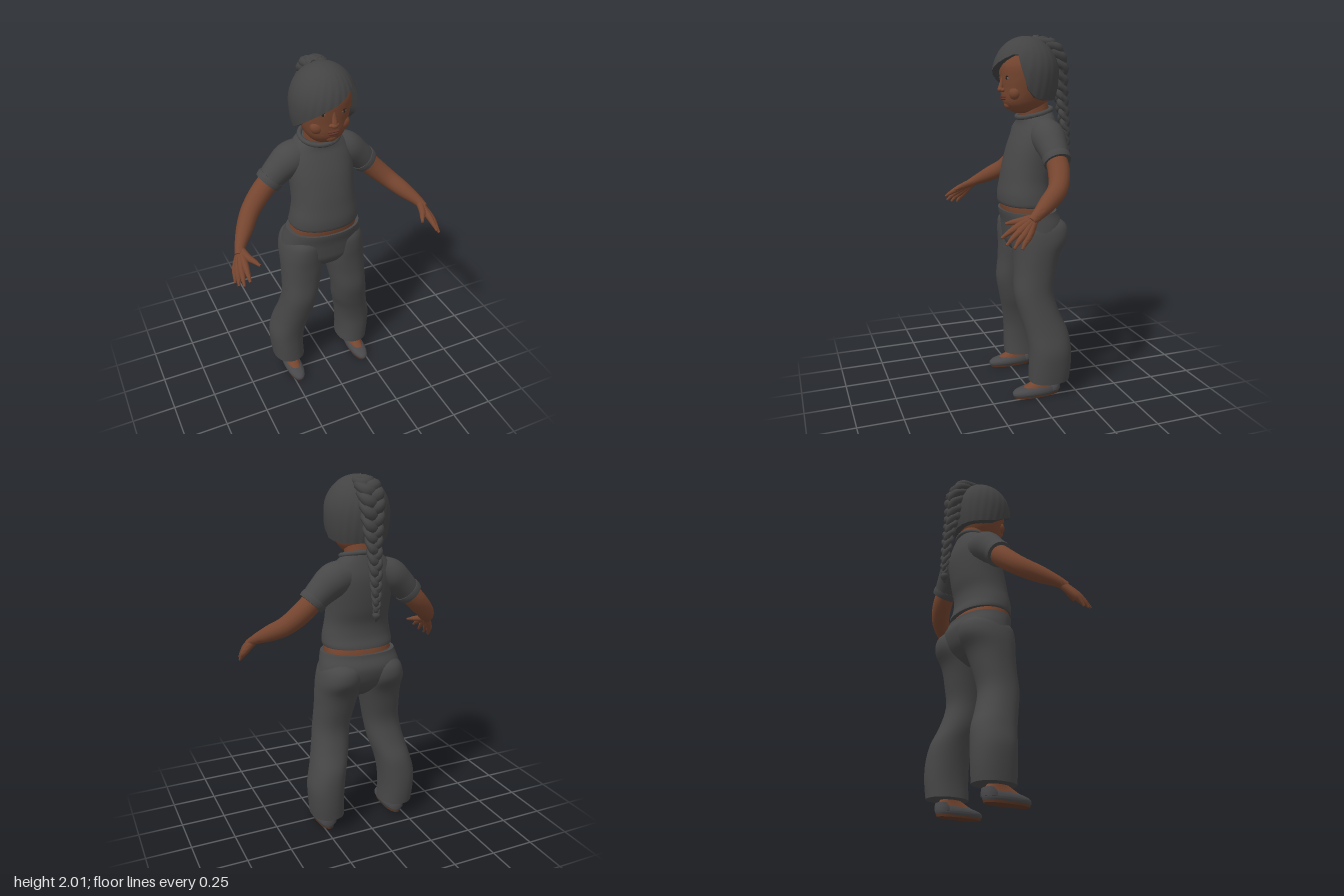
import * as THREE from 'three';
import { toCreasedNormals } from 'three/addons/utils/BufferGeometryUtils.js';

const paint = (name, color) => Object.assign(new THREE.MeshStandardMaterial({ color }), { name });

// Catmull-Rom blend of key arrays at t in 0..1
function blend(keys, t) {
  const f = t * (keys.length - 1), i = Math.min(Math.floor(f), keys.length - 2), u = f - i;
  const k = (n) => keys[Math.max(0, Math.min(keys.length - 1, n))];
  const [p, a, b, q] = [k(i - 1), k(i), k(i + 1), k(i + 2)];
  return a.map((v, n) => {
    const m0 = (b[n] - p[n]) / 2, m1 = (q[n] - v) / 2;
    return v + m0 * u + (3 * (b[n] - v) - 2 * m0 - m1) * u * u + (2 * (v - b[n]) + m0 + m1) * u * u * u;
  });
}

// Skin over a list of closed rings of points, with both ends capped
function loft(rings, crease = 0.9) {
  const n = rings[0].length, pos = [], idx = [];
  rings.forEach((r) => r.forEach((p) => pos.push(p.x, p.y, p.z)));
  for (let i = 0; i < rings.length - 1; i++) {
    for (let j = 0; j < n; j++) {
      const a = i * n + j, b = i * n + (j + 1) % n;
      idx.push(a, b, b + n, a, b + n, a + n);
    }
  }
  [0, rings.length - 1].forEach((i, end) => {
    const c = rings[i].reduce((s, p) => s.add(p), new THREE.Vector3()).divideScalar(n);
    const ci = pos.length / 3;
    pos.push(c.x, c.y, c.z);
    for (let j = 0; j < n; j++) {
      const a = i * n + j, b = i * n + (j + 1) % n;
      idx.push(...(end ? [ci, a, b] : [ci, b, a]));
    }
  });
  const g = new THREE.BufferGeometry();
  g.setAttribute('position', new THREE.Float32BufferAttribute(pos, 3));
  g.setIndex(idx);
  return toCreasedNormals(g, crease);
}

// Upright form; keys rise in y: [y, centreX, halfWidth, zFront, zBack, frontDrop]
function stack(keys, steps = 24, sides = 36) {
  const soft = (v) => Math.sign(v) * Math.abs(v) ** 0.9;
  return loft(Array.from({ length: steps + 1 }, (_, i) => {
    const [y, xc, rx, zf, zb, drop] = blend(keys.map((k) => [...k, 0].slice(0, 6)), i / steps);
    return Array.from({ length: sides }, (_, j) => {
      const a = j / sides * Math.PI * 2, c = soft(Math.cos(a));
      return new THREE.Vector3(xc + rx * soft(Math.sin(a)), y - drop * c, (zf + zb) / 2 + (zf - zb) / 2 * c);
    });
  }));
}

// Tapering tube; keys are [x, y, z, radius]
function limb(keys, steps = 16, sides = 14) {
  const curve = new THREE.CatmullRomCurve3(keys.map((k) => new THREE.Vector3(k[0], k[1], k[2])));
  const fr = { T: [], N: [], B: [] };
  for (let i = 0; i <= steps; i++) {
    const T = curve.getTangent(i / steps);
    const N = i ? fr.N[i - 1].clone() : new THREE.Vector3(0.12, 0.3, 0.9);
    N.addScaledVector(T, -N.dot(T)).normalize();
    fr.N.push(N);
    fr.B.push(T.clone().cross(N));
  }
  return loft(fr.N.map((N, i) => {
    const c = curve.getPoint(i / steps), r = blend(keys.map((k) => [k[3]]), i / steps)[0];
    return Array.from({ length: sides }, (_, j) => {
      const a = j / sides * Math.PI * 2;
      return c.clone().addScaledVector(N, r * Math.cos(a)).addScaledVector(fr.B[i], r * Math.sin(a));
    });
  }));
}

export function createModel() {
  const model = new THREE.Group();
  const skin = paint('skin', 0x75452f), cloth = paint('cloth', 0x474748), hairMat = paint('hair', 0x434343);
  const shoeMat = paint('shoe', 0x48484a), lipMat = paint('lips', 0x613428), soleMat = paint('sole', 0x5e3826);
  const eyeMat = paint('eye', 0x66605c), dark = paint('dark', 0x2c2420);
  const add = (name, geo, mat) => {
    const m = new THREE.Mesh(geo, mat);
    m.name = name;
    model.add(m);
    return m;
  };
  const blob = (name, mat, p, s) => {
    const m = add(name, new THREE.SphereGeometry(1, 20, 14), mat);
    m.position.set(...p);
    m.scale.set(...s);
    return m;
  };

  // Head and neck
  add('head', stack([
    [1.59, 0, 0.05, 0.035, -0.08], [1.605, 0, 0.075, 0.06, -0.11], [1.635, 0, 0.1, 0.088, -0.14],
    [1.67, 0, 0.117, 0.1, -0.16], [1.72, 0, 0.132, 0.104, -0.18], [1.78, 0, 0.141, 0.11, -0.18],
    [1.85, 0, 0.138, 0.11, -0.17], [1.92, 0, 0.1, 0.07, -0.13], [1.95, 0, 0.04, 0.01, -0.07],
  ], 32), skin);
  add('neck', stack([[1.48, 0, 0.085, -0.01, -0.17], [1.57, 0, 0.085, 0, -0.165], [1.67, 0, 0.085, 0.02, -0.15]], 6), skin);

  // Face
  add('noseBridge', limb([[0, 1.79, 0.1, 0.01], [0, 1.755, 0.107, 0.012], [0, 1.72, 0.115, 0.015]], 8, 10), skin);
  blob('noseTip', skin, [0, 1.717, 0.114], [0.021, 0.015, 0.018]);
  blob('upperLip', lipMat, [0, 1.679, 0.1], [0.036, 0.007, 0.013]);
  blob('lowerLip', lipMat, [0, 1.667, 0.099], [0.03, 0.008, 0.013]);
  blob('chin', skin, [0, 1.635, 0.07], [0.035, 0.025, 0.022]);
  for (const s of [1, -1]) {
    blob('nostril', skin, [s * 0.017, 1.714, 0.106], [0.011, 0.01, 0.012]);
    blob('eye', eyeMat, [s * 0.058, 1.778, 0.092], [0.022, 0.009, 0.01]).rotation.y = s * 0.4;
    blob('iris', dark, [s * 0.057, 1.778, 0.1], [0.008, 0.008, 0.004]);
    add('eyelid', limb([[s * 0.034, 1.781, 0.1, 0.003], [s * 0.058, 1.789, 0.099, 0.004], [s * 0.084, 1.78, 0.083, 0.003]], 10, 8), dark);
    add('eyebrow', limb([[s * 0.03, 1.815, 0.104, 0.004], [s * 0.06, 1.824, 0.097, 0.005], [s * 0.093, 1.812, 0.078, 0.002]], 10, 8), dark);
    blob('cheek', skin, [s * 0.068, 1.7, 0.055], [0.042, 0.04, 0.034]);
  }

  // Bobbed hair: a cap whose lower edge sweeps across the forehead [degrees, edgeY]
  const edge = [[-180, 1.66], [-115, 1.665], [-90, 1.68], [-70, 1.715], [-45, 1.765], [-20, 1.81], [0, 1.838],
    [25, 1.875], [45, 1.9], [57, 1.9], [65, 1.82], [75, 1.72], [90, 1.675], [115, 1.66], [180, 1.66]];
  const edgeAt = (d) => {
    const i = Math.max(1, edge.findIndex((e) => e[0] >= d)), [a, b] = [edge[i - 1], edge[i]];
    return THREE.MathUtils.lerp(a[1], b[1], (d - a[0]) / (b[0] - a[0]));
  };
  const hairRing = (u, k) => Array.from({ length: 96 }, (_, j) => {
    const d = -180 + j * 3.75, a = d * Math.PI / 180;
    const y = 2 - (2 - edgeAt(d)) * (1 - Math.cos(u * Math.PI / 2));
    const h = y > 1.8 ? Math.sqrt(Math.max(0, 1 - ((y - 1.8) / 0.2) ** 2)) : 1 - 0.12 * ((1.8 - y) / 0.14) ** 2;
    const r = h * k * (1 + 0.008 * u * Math.sin(24 * a + 8 * u));
    return new THREE.Vector3(0.177 * r * Math.sin(a), y, -0.03 + 0.183 * r * Math.cos(a));
  });
  const rows = [hairRing(1, 0.8)];
  for (let i = 20; i >= 0; i--) rows.push(hairRing(Math.max(i / 20, 0.01), 1));
  add('hair', loft(rows), hairMat);

  // Three-strand braid from the crown down the back: [y, z, sway, strandRadius]
  const spine = [[1.975, -0.09, 0.035, 0.03], [1.945, -0.17, 0.045, 0.038], [1.86, -0.215, 0.045, 0.036], [1.75, -0.23, 0.036, 0.031],
    [1.65, -0.245, 0.028, 0.025], [1.55, -0.26, 0.024, 0.022], [1.45, -0.27, 0.02, 0.019], [1.36, -0.278, 0.015, 0.015], [1.3, -0.276, 0.01, 0.011]];
  for (let k = 0; k < 3; k++) {
    const keys = Array.from({ length: 57 }, (_, i) => {
      const [y, z, w, r] = blend(spine, i / 56), p = (i / 56 * 4.7 + k / 3) * Math.PI * 2;
      return [w * Math.sin(p), y, z + w * 0.5 * Math.sin(2 * p), r * (0.88 + 0.2 * Math.cos(2 * p))];
    });
    add('braidStrand', limb(keys, 150, 9), hairMat);
  }
  add('braidTuft', limb([[0, 1.32, -0.275, 0.012], [0, 1.295, -0.276, 0.023], [0.004, 1.26, -0.272, 0.006]], 8, 8), hairMat);

  // Shirt
  add('shirt', stack([
    [1.085, 0, 0.196, 0.116, -0.188], [1.1, 0, 0.2, 0.122, -0.185], [1.15, 0, 0.194, 0.122, -0.168], [1.22, 0, 0.182, 0.11, -0.165],
    [1.3, 0, 0.18, 0.095, -0.185], [1.4, 0, 0.184, 0.067, -0.2], [1.48, 0, 0.18, 0.035, -0.203],
    [1.54, 0, 0.155, 0.012, -0.19, 0.01], [1.585, 0, 0.11, 0.008, -0.172, 0.025],
  ], 36), cloth);
  add('collar', limb(Array.from({ length: 26 }, (_, i) => {
    const a = i / 24 * Math.PI * 2;
    return [0.107 * Math.sin(a), 1.588 - 0.024 * Math.cos(a), -0.08 + 0.093 * Math.cos(a), 0.014];
  }), 60, 8), cloth);

  // Bare waist
  add('waist', stack([[1, 0, 0.19, 0.09, -0.18], [1.06, 0, 0.193, 0.105, -0.172], [1.12, 0, 0.185, 0.11, -0.15]], 6), skin);

  // Trouser seat and waistband
  add('trouserSeat', stack([
    [0.79, 0, 0.05, 0.01, -0.1], [0.82, 0, 0.14, 0.055, -0.14], [0.87, 0, 0.225, 0.085, -0.19],
    [0.92, 0, 0.24, 0.093, -0.215], [0.98, 0, 0.232, 0.1, -0.223], [1.03, 0, 0.219, 0.112, -0.2], [1.052, 0, 0.213, 0.115, -0.193],
  ], 24), cloth);

  for (const s of [1, -1]) {
    // Sleeve and arm
    add('sleeve', limb([[s * 0.08, 1.49, -0.1, 0.085], [s * 0.165, 1.462, -0.1, 0.094], [s * 0.235, 1.41, -0.1, 0.08], [s * 0.295, 1.352, -0.1, 0.069]], 18, 22), cloth);
    add('sleeveCuff', limb([[s * 0.273, 1.374, -0.1, 0.076], [s * 0.286, 1.361, -0.1, 0.077], [s * 0.299, 1.348, -0.1, 0.074]], 4, 22), cloth);
    add('arm', limb([[s * 0.26, 1.385, -0.1, 0.058], [s * 0.34, 1.305, -0.09, 0.058], [s * 0.42, 1.23, -0.05, 0.052],
      [s * 0.485, 1.175, 0.03, 0.045], [s * 0.54, 1.128, 0.11, 0.029], [s * 0.555, 1.105, 0.145, 0.026]], 28, 18), skin);

    // Hand: fingers fan out from the wrist [knuckle, tip]
    const fingers = [[0.55, 1.085, 0.21, 0.556, 1.035, 0.3], [0.57, 1.068, 0.205, 0.584, 1.005, 0.283],
      [0.584, 1.053, 0.19, 0.603, 0.99, 0.25], [0.592, 1.043, 0.17, 0.611, 0.985, 0.212], [0.523, 1.105, 0.185, 0.483, 1.087, 0.255]];
    for (const [kx, ky, kz, tx, ty, tz] of fingers) {
      const mid = (a, b, t) => a + (b - a) * t;
      add('finger', limb([[s * 0.542, 1.122, 0.12, 0.021], [s * kx, ky, kz, 0.019],
        [s * mid(kx, tx, 0.55), mid(ky, ty, 0.5), mid(kz, tz, 0.55), 0.0135], [s * tx, ty, tz, 0.007]], 16, 10), skin);
    }

    // Flared trouser leg
    const leg = [[0.09, 0.125, 0.316, 0.024, -0.21], [0.18, 0.128, 0.325, 0.024, -0.218], [0.28, 0.12, 0.328, 0.026, -0.217],
      [0.38, 0.102, 0.306, 0.042, -0.203], [0.48, 0.074, 0.284, 0.066, -0.162], [0.6, 0.055, 0.264, 0.09, -0.132], [0.72, 0.03, 0.256, 0.085, -0.152],
      [0.82, 0.006, 0.254, 0.086, -0.18], [0.9, 0.004, 0.249, 0.092, -0.228], [0.97, 0.01, 0.23, 0.09, -0.225], [1.01, 0.04, 0.19, 0.07, -0.18]];
    add('trouserLeg', stack(leg.map(([y, a, b, f, k]) => [y, s * (a + b) / 2, (b - a) / 2, f, k]), 40), cloth);

    // Foot and slip-on shoe
    const x = s * 0.221;
    add('foot', stack([[0.02, x, 0.043, 0.09, -0.145], [0.05, x, 0.042, 0.068, -0.145], [0.075, x, 0.037, 0.02, -0.14],
      [0.1, x, 0.035, -0.02, -0.13], [0.16, x, 0.037, -0.03, -0.125]], 14, 24), skin);
    add('shoe', stack([[0.01, x, 0.046, 0.12, -0.155], [0.025, x, 0.053, 0.125, -0.16], [0.042, x, 0.051, 0.11, -0.16], [0.056, x, 0.044, 0.062, -0.157]], 10, 28), shoeMat);
    add('shoeHeel', stack([[0.03, x, 0.047, -0.07, -0.16], [0.05, x, 0.046, -0.08, -0.16], [0.072, x, 0.04, -0.105, -0.156]], 6, 24), shoeMat);
    add('shoeSole', stack([[0, x, 0.044, 0.115, -0.152], [0.012, x, 0.047, 0.121, -0.156]], 2, 28), soleMat);
  }
  return model;
}
